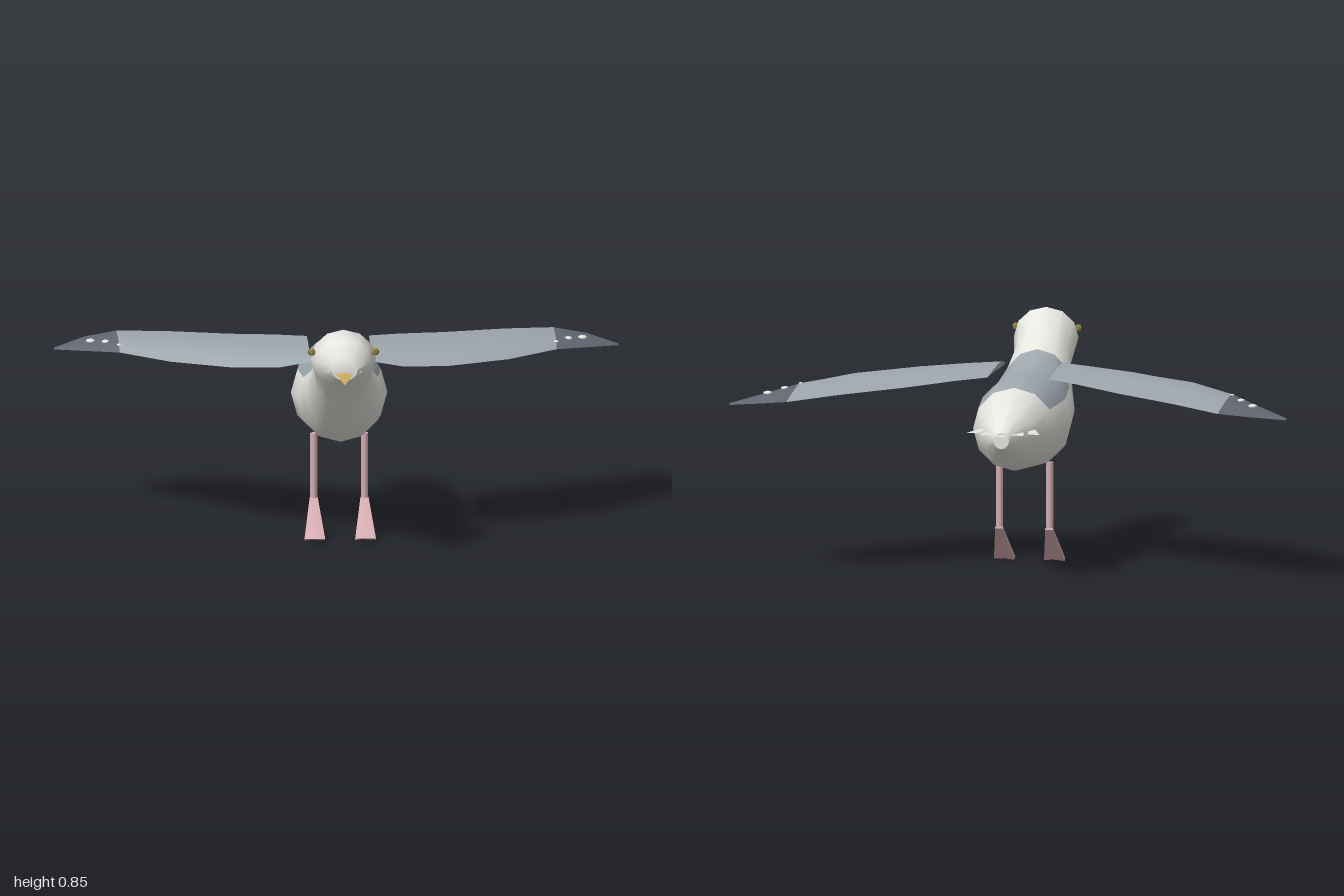
import * as THREE from 'three';
import { toCreasedNormals } from 'three/addons/utils/BufferGeometryUtils.js';

const mat = (name, color, side = THREE.FrontSide) => {
  const m = new THREE.MeshStandardMaterial({ color, side });
  m.name = name;
  return m;
};

// Skin a list of closed rings; pick(i, j) chooses the material slot of each quad.
function loft(rings, { pick = () => 0, crease = 0.7, flip = false } = {}) {
  const n = rings[0].length, last = (rings.length - 1) * n, buckets = [[], []];
  const tri = (slot, a, b, c) => buckets[slot].push(...(flip ? [a, c, b] : [a, b, c]));
  for (let i = 0; i < rings.length - 1; i++) {
    for (let j = 0; j < n; j++) {
      const a = i * n + j, b = i * n + (j + 1) % n, s = pick(i, j);
      tri(s, a, a + n, b + n);
      tri(s, a, b + n, b);
    }
  }
  for (let j = 1; j < n - 1; j++) {
    tri(pick(0, j), 0, j, j + 1);
    tri(pick(rings.length - 2, j), last, last + j + 1, last + j);
  }
  const geo = new THREE.BufferGeometry();
  geo.setAttribute('position', new THREE.Float32BufferAttribute(rings.flat(2), 3));
  geo.setIndex(buckets.flat());
  geo.addGroup(0, buckets[0].length, 0);
  geo.addGroup(buckets[0].length, buckets[1].length, 1);
  return toCreasedNormals(geo, crease);
}

export function createModel() {
  const bird = new THREE.Group();
  bird.name = 'bird';
  const white = mat('white plumage', 0xe9e9e4);
  const feather = mat('tail feather white', 0xe9e9e4, THREE.DoubleSide);
  const grey = mat('grey mantle', 0x9fa8ae);
  const slate = mat('dark wing tip', 0x646873);
  const pink = mat('pink legs', 0xd8aeb3);
  const yellow = mat('yellow beak', 0xc6a75c);
  const olive = mat('olive eye', 0x8c8340);
  const black = mat('black pupil', 0x1c1c1a);

  const add = (name, geo, material, parent = bird) => {
    const mesh = new THREE.Mesh(geo, material);
    mesh.name = name;
    parent.add(mesh);
    return mesh;
  };

  // Body and head: z, bottom, top, half width, from face to rump
  const stations = [
    [0.52, 0.70, 0.783, 0.048], [0.455, 0.662, 0.835, 0.095], [0.38, 0.64, 0.853, 0.116],
    [0.30, 0.562, 0.79, 0.102], [0.20, 0.45, 0.73, 0.125], [0.09, 0.375, 0.69, 0.152],
    [-0.08, 0.348, 0.684, 0.171], [-0.285, 0.37, 0.668, 0.148], [-0.44, 0.427, 0.612, 0.09],
    [-0.555, 0.49, 0.55, 0.028],
  ];
  const bodyRings = stations.map(([z, lo, hi, w]) => Array.from({ length: 12 }, (_, j) => {
    const a = j * Math.PI / 6;
    return [w * Math.cos(a), (lo + hi) / 2 + (hi - lo) / 2 * Math.sin(a), z];
  }));
  const mantle = (i, j) => (i >= 4 && i <= 6 && j >= 1 && j <= 4 ? 1 : 0);
  add('body', loft(bodyRings, { pick: mantle, crease: 0.95 }), [white, grey]);

  // Beak
  const beakRing = (s, y, z) => [[0.035, 0.015], [0, 0.02], [-0.035, 0.015], [0, -0.018]]
    .map(([x, dy]) => [x * s, y + dy * s, z]);
  add('beak', loft([beakRing(0.03, 0.698, 0.578), beakRing(1, 0.713, 0.512)], { crease: 0.3 }), yellow);

  // Wing stations: x, leading z and y, crown y, trailing z and y
  const wingStations = [
    [0.11, 0.167, 0.685, 0.703, -0.21, 0.69], [0.22, 0.158, 0.664, 0.701, -0.265, 0.683],
    [0.38, 0.11, 0.653, 0.694, -0.345, 0.668], [0.6, 0, 0.65, 0.681, -0.455, 0.653],
    [0.775, -0.175, 0.643, 0.661, -0.54, 0.636], [0.89, -0.29, 0.622, 0.634, -0.51, 0.622],
    [1.0, -0.4, 0.602, 0.606, -0.43, 0.602],
  ];
  const chord = [0, 0.1, 0.3, 0.6, 1];
  const bump = [0, 0.55, 1, 0.7, 0];
  const under = [0, 0.7, 1, 0.6, 0];
  const wingRing = ([x, zl, yl, yc, zt, yt], side) => {
    const crown = yc - (yl + (yt - yl) * 0.3), thick = 0.022 - 0.017 * x;
    const point = (k, drop) => [side * x, yl + (yt - yl) * chord[k] + crown * bump[k] - drop * thick * under[k],
      zl + (zt - zl) * chord[k]];
    return [...[0, 1, 2, 3, 4].map(k => point(k, 0)), ...[3, 2, 1].map(k => point(k, 1))];
  };

  for (const side of [1, -1]) {
    const label = side > 0 ? 'left' : 'right';

    // Wing with dark tip and pale spots
    const rings = wingStations.map(s => wingRing(s, side));
    add(label + 'Wing', loft(rings, { pick: i => (i >= 4 ? 1 : 0), flip: side < 0 }), [grey, slate]);
    for (const [x, y, z, r] of [[0.872, 0.64, -0.37, 0.018], [0.82, 0.65, -0.315, 0.016], [0.775, 0.656, -0.24, 0.01]]) {
      const spot = add(label + 'WingSpot', new THREE.SphereGeometry(r, 10, 6), white);
      spot.position.set(side * x, y, z);
      spot.scale.set(0.9, 0.35, 1.2);
    }

    // Eye and pupil
    const eye = add(label + 'Eye', new THREE.IcosahedronGeometry(0.015, 0), olive);
    eye.position.set(side * 0.112, 0.777, 0.4);
    const pupil = add(label + 'Pupil', new THREE.IcosahedronGeometry(0.008, 0), black);
    pupil.position.set(side * 0.12, 0.777, 0.401);

    // Cheek bump beside the beak
    const cheek = add(label + 'Cheek', new THREE.SphereGeometry(0.012, 8, 6), white);
    cheek.position.set(side * 0.055, 0.727, 0.494);
    cheek.scale.set(0.6, 0.5, 1);

    // Leg
    const leg = add(label + 'Leg', new THREE.CylinderGeometry(0.013, 0.013, 0.235, 8), pink);
    leg.position.set(side * 0.09, 0.2525, -0.07);

    // Webbed foot sloping forward, with a scalloped front edge
    const ankle = [[-0.014, 0.135, -0.08], [0, 0.136, -0.08], [0.014, 0.135, -0.08],
      [0.014, 0.128, -0.082], [0, 0.128, -0.082], [-0.014, 0.128, -0.082]];
    const toes = [[-0.037, 0.01, 0.042], [0, 0.012, 0.05], [0.037, 0.01, 0.042],
      [0.037, 0.002, 0.026], [0, 0.006, 0.018], [-0.037, 0, 0.026]];
    const foot = add(label + 'Foot', loft([ankle, toes], { crease: 0.4 }), pink);
    foot.position.x = side * 0.09;
  }

  // Fan of flat tail feathers: inner end x, z and outer end x, z
  for (const [x0, z0, x1, z1] of [[0, -0.42, 0, -0.586], [0.045, -0.42, 0.058, -0.552], [-0.045, -0.42, -0.058, -0.552],
    [0.08, -0.39, 0.11, -0.52], [-0.08, -0.39, -0.11, -0.52]]) {
    const shape = new THREE.Shape([[x0 - 0.012, -z0], [x0 + 0.012, -z0], [x1 + 0.021, -z1], [x1 - 0.021, -z1]]
      .map(p => new THREE.Vector2(...p)));
    const blade = add('tailFeather', new THREE.ShapeGeometry(shape), feather);
    blade.rotation.x = -Math.PI / 2;
    blade.position.y = 0.54;
  }
  return bird;
}
